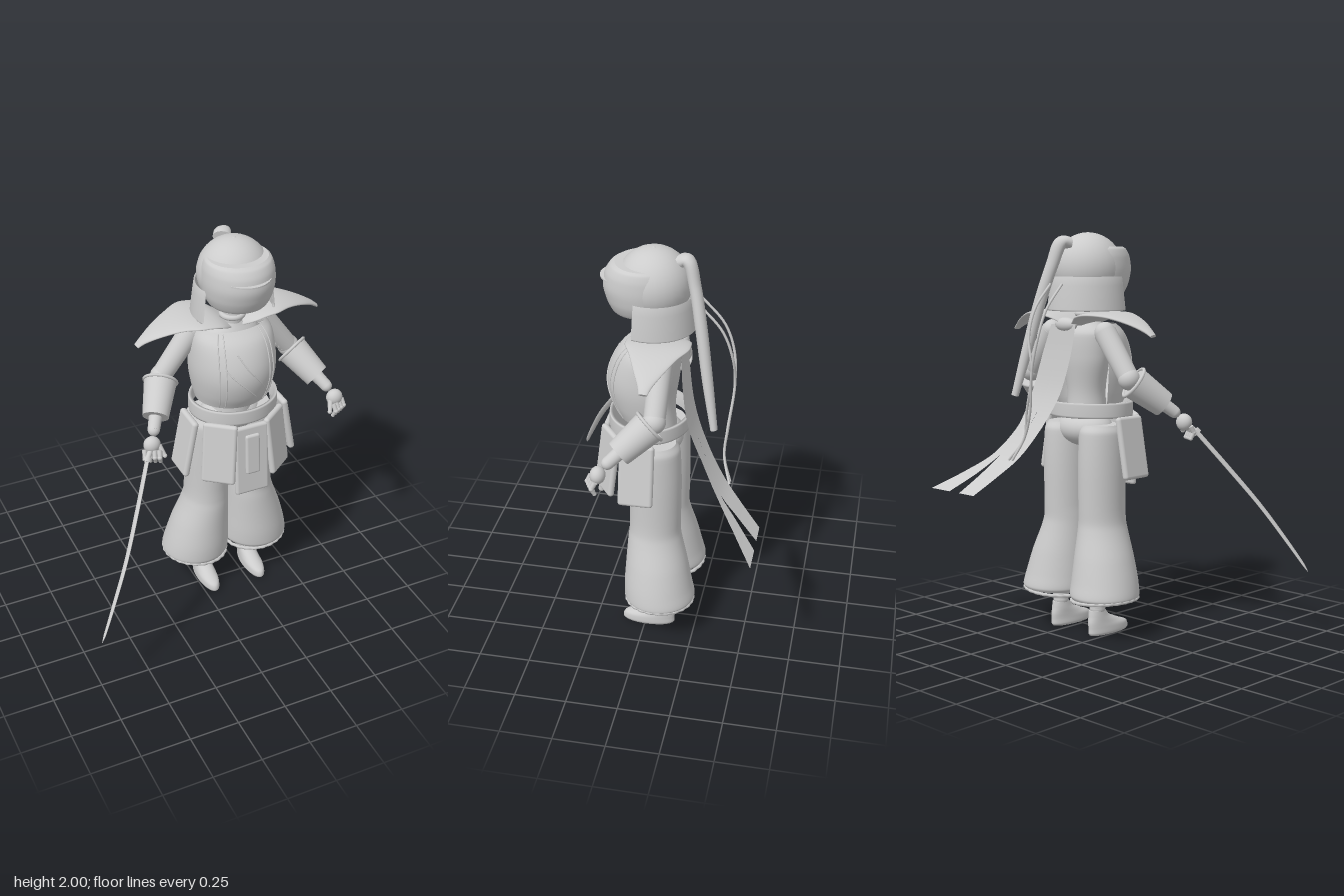
import * as THREE from 'three';
import { RoundedBoxGeometry } from 'three/addons/geometries/RoundedBoxGeometry.js';

const V = (x, y, z) => new THREE.Vector3(x, y, z);
const grey = new THREE.MeshStandardMaterial({ color: 0xcccccc, side: THREE.DoubleSide });
grey.name = 'plain grey';

// Skin closed rings into a smooth solid with sharp end caps
function loft(rings) {
  const n = rings[0].length, pos = [], idx = [];
  rings.forEach(r => r.forEach(p => pos.push(p.x, p.y, p.z)));
  for (let i = 0; i < rings.length - 1; i++) for (let j = 0; j < n; j++) {
    const a = i * n + j, b = i * n + (j + 1) % n;
    idx.push(a, a + n, b, b, a + n, b + n);
  }
  [rings[0], rings[rings.length - 1]].forEach((r, end) => {
    const base = pos.length / 3, c = V(0, 0, 0);
    r.forEach(p => { pos.push(p.x, p.y, p.z); c.addScaledVector(p, 1 / n); });
    pos.push(c.x, c.y, c.z);
    for (let j = 0; j < n; j++) {
      const a = base + j, b = base + (j + 1) % n;
      if (end) idx.push(base + n, b, a); else idx.push(base + n, a, b);
    }
  });
  const g = new THREE.BufferGeometry();
  g.setAttribute('position', new THREE.Float32BufferAttribute(pos, 3));
  g.setIndex(idx);
  g.computeVertexNormals();
  return g;
}

// Rows are [x, y, z, radiusA, radiusB]; smoothed along their length
function samples(rows, steps) {
  const centre = new THREE.CatmullRomCurve3(rows.map(r => V(r[0], r[1], r[2])));
  const size = new THREE.CatmullRomCurve3(rows.map((r, i) => V(r[3], r[4], i * 0.01)));
  return Array.from({ length: steps + 1 }, (_, i) => {
    const t = i / steps, s = size.getPoint(t);
    return { p: centre.getPoint(t), t: centre.getTangent(t), a: Math.max(s.x, 0.001), b: Math.max(s.y, 0.001) };
  });
}
const ring = (p, N, B, a, b, n) => Array.from({ length: n }, (_, j) => {
  const q = j / n * Math.PI * 2;
  return p.clone().addScaledVector(N, Math.cos(q) * a).addScaledVector(B, Math.sin(q) * b);
});
// Stack of level ellipses, bottom to top
const hull = (rows, n = 40, steps = 32) =>
  loft(samples(rows, steps).map(s => ring(s.p, V(1, 0, 0), V(0, 0, 1), s.a, s.b, n)));
// Ellipse swept along a path; radiusA lies along ref
const sweep = (rows, ref, n = 14, steps = 32) => loft(samples(rows, steps).map(s => {
  const N = ref.clone().addScaledVector(s.t, -ref.dot(s.t)).normalize();
  return ring(s.p, N, N.clone().cross(s.t), s.a, s.b, n);
}));
// Tapered rod between two points
function rod(a, b, ra, rb, n = 24) {
  const d = b.clone().sub(a), g = new THREE.CylinderGeometry(rb, ra, d.length(), n);
  g.applyQuaternion(new THREE.Quaternion().setFromUnitVectors(V(0, 1, 0), d.normalize()));
  return g.translate((a.x + b.x) / 2, (a.y + b.y) / 2, (a.z + b.z) / 2);
}
const ball = (p, a, b = a, c = a) => new THREE.SphereGeometry(1, 28, 20).scale(a, b, c).translate(p.x, p.y, p.z);
const cord = (pts, r, seg = 40) => new THREE.TubeGeometry(new THREE.CatmullRomCurve3(pts), seg, r, 8);

export function createModel() {
  const root = new THREE.Group();
  const body = new THREE.Group();
  body.name = 'figure';
  body.position.x = 0.185;
  root.add(body);
  const add = (name, geo, to = body) => {
    const m = new THREE.Mesh(geo, grey);
    m.name = name;
    to.add(m);
    return m;
  };

  // Helmet, mask and neck guard
  add('helmetDome', ball(V(0, 1.825, -0.017), 0.174));
  add('crownStud', ball(V(0, 1.997, -0.017), 0.008, 0.004, 0.008));
  add('faceMask', hull([[0, 1.685, 0.04, 0.1, 0.1], [0, 1.70, 0.035, 0.14, 0.14], [0, 1.755, 0.03, 0.166, 0.172],
    [0, 1.82, 0.03, 0.174, 0.186], [0, 1.88, 0.03, 0.17, 0.176], [0, 1.918, 0.03, 0.158, 0.152], [0, 1.93, 0.03, 0.145, 0.13]]));
  add('visorSlit', new THREE.CylinderGeometry(1, 1, 0.007, 48).scale(0.148, 1, 0.19).translate(0, 1.856, 0.04));
  const guard = [[0.178, 1.78], [0.184, 1.785], [0.19, 1.74], [0.203, 1.625], [0.199, 1.618], [0.192, 1.625], [0.178, 1.78]];
  add('neckGuard', new THREE.LatheGeometry(guard.map(p => new THREE.Vector2(...p)), 48, 1.22, Math.PI * 2 - 2.44).translate(0, 0, -0.018));
  add('neck', rod(V(0, 1.5, -0.02), V(0, 1.72, -0.01), 0.05, 0.045));
  add('neckRing', new THREE.TorusGeometry(0.052, 0.014, 10, 30).rotateX(Math.PI / 2).translate(0, 1.6, -0.02));

  // Plume and hanging cords behind the helmet
  add('plume', sweep([[0, 1.945, -0.14, 0.045, 0.03], [0.02, 1.95, -0.178, 0.04, 0.03], [0.05, 1.84, -0.215, 0.034, 0.028],
    [0.1, 1.65, -0.255, 0.032, 0.028], [0.15, 1.42, -0.295, 0.028, 0.025], [0.195, 1.2, -0.335, 0.02, 0.017]], V(1, 0, 0), 18, 40));
  [-0.04, 0.04].forEach(x => add('hangingCord', cord([V(x, 1.75, -0.235), V(x, 1.63, -0.34), V(x * 0.8, 1.5, -0.388),
    V(0, 1.34, -0.4), V(0.05 + x * 0.3, 1.13, -0.38), V(0.09, 1, -0.372), V(0.15 + x * 0.3, 0.89, -0.41)], 0.0065)));

  // Scarf with a forked tail: rows are [y, z, edge, middle side]
  const scarfHalf = rows => {
    const g = new THREE.PlaneGeometry(1, 1, 6, 36), p = g.attributes.position;
    const path = new THREE.CatmullRomCurve3(rows.map(r => V(0, r[0], r[1])));
    const edges = new THREE.CatmullRomCurve3(rows.map((r, i) => V(r[2], r[3], i * 0.01)));
    for (let i = 0; i < p.count; i++) {
      const t = 0.5 - p.getY(i), q = path.getPoint(t), e = edges.getPoint(t);
      p.setXYZ(i, THREE.MathUtils.lerp(e.x, e.y, p.getX(i) + 0.5), q.y, q.z);
    }
    g.computeVertexNormals();
    return g;
  };
  const fall = [[1.55, -0.165], [1.4, -0.18], [1.21, -0.215], [1.05, -0.283], [0.9, -0.38], [0.81, -0.47], [0.72, -0.57]];
  const scarfEdges = {
    scarfRightTail: [[-0.06, 0.03], [-0.04, 0.065], [0, 0.1], [0.055, 0.15], [0.12, 0.262], [0.18, 0.305], [0.245, 0.355]],
    scarfLeftTail: [[0.03, 0.11], [0.065, 0.16], [0.1, 0.2], [0.15, 0.225], [0.262, 0.315], [0.335, 0.43], [0.43, 0.57]],
  };
  for (const [name, e] of Object.entries(scarfEdges)) add(name, scarfHalf(fall.map((f, i) => [...f, ...e[i]])));
  add('scarfKnot', ball(V(0.02, 1.55, -0.15), 0.07, 0.035, 0.035));

  // Breastplate, open at the back, over a slim inner body
  const plateRows = new THREE.CatmullRomCurve3([V(0.17, 1.555, 0.1), V(0.2, 1.5, 0.165), V(0.213, 1.4, 0.213),
    V(0.213, 1.32, 0.222), V(0.2, 1.23, 0.2), V(0.185, 1.165, 0.165)]);
  const onPlate = (angle, t, lift = 0) => {
    const r = plateRows.getPoint(t);
    return V(Math.sin(angle) * (r.x + lift), r.y, -0.02 + Math.cos(angle) * (r.z + lift));
  };
  const plate = new THREE.PlaneGeometry(1, 1, 48, 28), pp = plate.attributes.position;
  for (let i = 0; i < pp.count; i++) {
    const q = onPlate(pp.getX(i) * 3.7, 0.5 - pp.getY(i));
    pp.setXYZ(i, q.x, q.y, q.z);
  }
  plate.computeVertexNormals();
  add('breastplate', plate);
  const seam = (name, a0, t0, a1, t1) => add(name, cord(Array.from({ length: 9 }, (_, i) =>
    onPlate(a0 + (a1 - a0) * i / 8, t0 + (t1 - t0) * i / 8, 0.001)), 0.0035, 24));
  [-0.72, -0.56, 0.56, 0.72].forEach(a => seam('plateSeam', a, 0.02, a, 0.98));
  seam('chestGroove', -0.27, 0.26, 0.53, 0.79);
  seam('chestGroove', -0.58, 0.39, 0.17, 0.79);
  add('innerTorso', hull([[0, 1.05, -0.03, 0.11, 0.1], [0, 1.2, -0.03, 0.1, 0.09], [0, 1.38, -0.04, 0.135, 0.1],
    [0, 1.5, -0.04, 0.14, 0.1], [0, 1.57, -0.03, 0.07, 0.06]]));
  add('pelvis', ball(V(0, 1.03, -0.04), 0.16, 0.09, 0.12));

  // Belt: a hollow oval band
  const band = [[0.92, 1.098], [0.99, 1.095], [1, 1.105], [1, 1.16], [0.99, 1.17], [0.92, 1.167], [0.92, 1.098]];
  add('belt', new THREE.LatheGeometry(band.map(p => new THREE.Vector2(...p)), 56).scale(0.225, 1, 0.195));

  // Hanging armour plates around the hips
  const panel = (name, w, h, t, x, y, z, yaw, tilt) => {
    const m = add(name, new RoundedBoxGeometry(w, h, t, 4, t * 0.48));
    m.position.set(x, y, z);
    m.rotation.set(-tilt, yaw, 0, 'YXZ');
  };
  panel('frontSkirtPlate', 0.18, 0.38, 0.03, 0, 0.905, 0.218, 0, 0.08);
  panel('frontSkirtTab', 0.077, 0.22, 0.026, 0, 0.94, 0.23, 0, 0.08);

  for (const s of [-1, 1]) {
    panel('diagonalSkirtPlate', 0.17, 0.32, 0.032, s * 0.155, 0.95, 0.178, s * 0.65, 0.14);
    panel('sideSkirtPlate', 0.168, 0.31, 0.034, s * 0.268, 0.95, 0.018, s * Math.PI / 2, 0.18);

    // Winged collar
    add('collarWing', sweep([[s * 0.03, 1.555, -0.07, 0.1, 0.014], [s * 0.1, 1.59, -0.066, 0.145, 0.016],
      [s * 0.19, 1.603, -0.07, 0.15, 0.016], [s * 0.28, 1.595, -0.068, 0.11, 0.015], [s * 0.38, 1.565, -0.065, 0.065, 0.013],
      [s * 0.45, 1.53, -0.063, 0.03, 0.011], [s * 0.478, 1.51, -0.062, 0.02, 0.008]], V(0, 0, 1), 28, 32));

    // Wide trouser leg with a gathered hem
    add('trouserLeg', hull([[s * 0.172, 0.195, -0.078, 0.165, 0.165], [s * 0.171, 0.215, -0.078, 0.174, 0.174],
      [s * 0.165, 0.28, -0.07, 0.167, 0.168], [s * 0.15, 0.4, -0.06, 0.147, 0.152], [s * 0.13, 0.52, -0.048, 0.122, 0.133],
      [s * 0.124, 0.57, -0.046, 0.114, 0.126], [s * 0.123, 0.64, -0.047, 0.11, 0.125], [s * 0.123, 0.85, -0.047, 0.11, 0.127],
      [s * 0.123, 1.02, -0.045, 0.107, 0.122], [s * 0.123, 1.06, -0.045, 0.09, 0.1]], 48, 60)
      .applyMatrix4(new THREE.Matrix4()));
    const hem = Array.from({ length: 48 }, (_, i) => {
      const a = i / 48 * Math.PI * 2, r = 0.163 + 0.004 * (i % 2);
      return V(s * 0.172 + Math.cos(a) * r, 0.19 + s * Math.cos(a) * 0.012, -0.078 + Math.sin(a) * r);
    });
    add('hemGather', new THREE.TubeGeometry(new THREE.CatmullRomCurve3(hem, true), 144, 0.009, 6, true));

    // Ankle and shoe
    add('shin', rod(V(s * 0.132, 0.14, -0.09), V(s * 0.132, 0.24, -0.09), 0.04, 0.046));
    add('ankleJoint', ball(V(s * 0.132, 0.135, -0.09), 0.04));
    add('shoe', hull([[s * 0.134, 0, -0.015, 0.044, 0.125], [s * 0.134, 0.012, -0.015, 0.05, 0.133], [s * 0.134, 0.04, -0.02, 0.049, 0.128],
      [s * 0.133, 0.065, -0.05, 0.045, 0.098], [s * 0.132, 0.095, -0.08, 0.041, 0.062], [s * 0.132, 0.125, -0.092, 0.037, 0.046]], 28, 28));

    // Jointed arm and bell-shaped forearm guard
    const shoulder = V(s * 0.185, 1.515, -0.085), elbow = V(s * 0.345, 1.3, -0.085), wrist = V(s * 0.468, 1.135, 0.105);
    add('shoulderJoint', ball(shoulder, 0.053));
    add('upperArm', rod(shoulder, elbow, 0.056, 0.05));
    add('elbowJoint', ball(elbow, 0.054));
    add('forearm', rod(elbow, wrist, 0.04, 0.03));
    const cuffTop = elbow.clone().lerp(wrist, 0.1), cuffEnd = elbow.clone().lerp(wrist, 0.76);
    add('forearmGuard', rod(cuffTop, cuffEnd, 0.08, 0.064, 32));
    const rim = add('guardRim', new THREE.TorusGeometry(0.08, 0.008, 8, 36));
    rim.position.copy(cuffTop);
    rim.quaternion.setFromUnitVectors(V(0, 0, 1), wrist.clone().sub(elbow).normalize());

    // Hand with jointed fingers
    add('wristJoint', ball(wrist, 0.029));
    add('palm', ball(V(s * 0.495, 1.085, 0.145), 0.042, 0.042, 0.036));
    for (let i = 0; i < 4; i++) {
      const k = i - 1.5, root0 = V(s * (0.503 + k * 0.021), 1.068, 0.165 - k * 0.011);
      const mid = root0.clone().add(V(s * 0.006, -0.032, 0.016)), tip = mid.clone().add(V(s * -0.008, -0.03, -0.012));
      add('finger', rod(root0, mid, 0.0125, 0.0115, 10));
      add('knuckle', ball(mid, 0.0125));
      add('fingerEnd', rod(mid, tip, 0.0115, 0.009, 10));
      add('fingerTip', ball(tip, 0.0095));
    }
    add('thumb', rod(V(s * 0.465, 1.08, 0.16), V(s * 0.448, 1.035, 0.19), 0.014, 0.01, 10));
    add('thumbTip', ball(V(s * 0.448, 1.035, 0.19), 0.011));
  }

  // Fringe under the left upper arm
  for (let i = 0; i < 6; i++) {
    const x = 0.225 + i * 0.018, y = 1.415 - i * 0.018;
    add('sleeveFringe', rod(V(x, y, -0.06), V(x + 0.018, y - 0.06, -0.055), 0.01, 0.004, 8));
  }

  // Slender curved sword in the right hand
  add('swordGrip', rod(V(-0.475, 1.105, 0.13), V(-0.54, 1.035, 0.19), 0.013, 0.013, 12));
  add('swordCollar', rod(V(-0.532, 1.045, 0.182), V(-0.542, 1.03, 0.192), 0.022, 0.022, 16));
  add('swordBlade', sweep([[-0.54, 1.035, 0.19, 0.006, 0.016], [-0.65, 0.845, 0.315, 0.006, 0.016],
    [-0.755, 0.665, 0.425, 0.005, 0.015], [-0.855, 0.495, 0.505, 0.005, 0.013], [-0.925, 0.375, 0.555, 0.004, 0.009],
    [-0.944, 0.342, 0.566, 0.001, 0.001]], V(0.87, -0.5, 0), 10, 36));

  return root;
}
